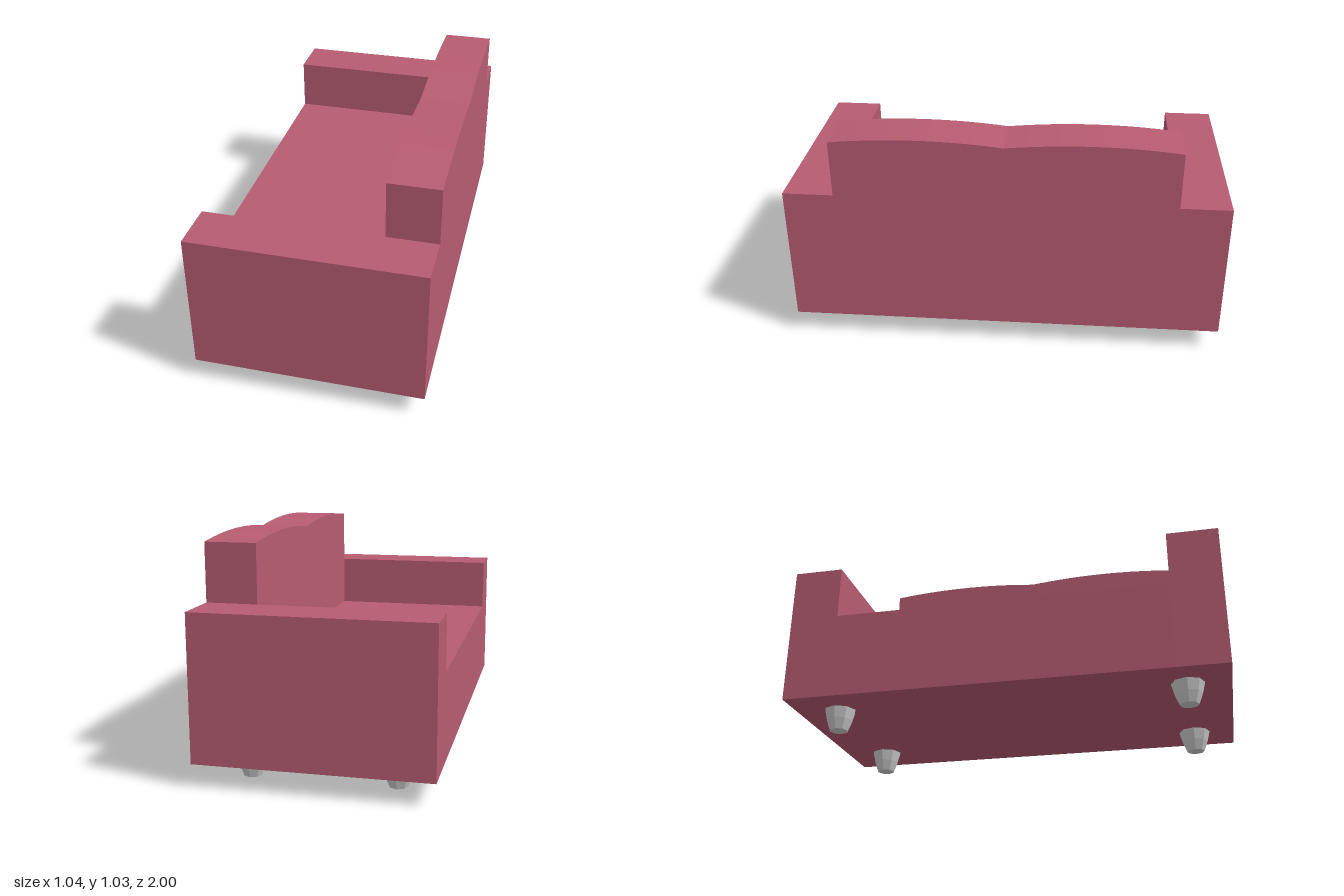
import * as THREE from 'three';

export function createModel() {
  const sofa = new THREE.Group();
  sofa.name = 'sofa';
  const fabric = new THREE.MeshStandardMaterial({ color: 0xb85c72 });
  const grey = new THREE.MeshStandardMaterial({ color: 0xcccccc, flatShading: true });

  const add = (name, geometry, material, x, y, z) => {
    const mesh = new THREE.Mesh(geometry, material);
    mesh.name = name;
    mesh.position.set(x, y, z);
    sofa.add(mesh);
  };

  const halfDepth = 0.52, base = 0.1, inner = 0.77, backFront = 0.29;

  // seat block between the arms, in front of the backrest
  const seatDepth = halfDepth + backFront;
  add('seat', new THREE.BoxGeometry(seatDepth, 0.4, inner * 2), fabric,
    (backFront - halfDepth) / 2, base + 0.2, 0);

  // box arms at both ends
  for (const side of [1, -1]) {
    add(side > 0 ? 'frontArm' : 'rearArm', new THREE.BoxGeometry(halfDepth * 2, 0.65, 1 - inner),
      fabric, 0, base + 0.325, side * (1 + inner) / 2);
  }

  // backrest with two shallow arches along its top
  const corner = 1.012, control = 1.056;
  const outline = new THREE.Shape();
  outline.moveTo(-inner, base);
  outline.lineTo(inner, base);
  outline.lineTo(inner, corner);
  outline.quadraticCurveTo(inner / 2, control, 0, corner);
  outline.quadraticCurveTo(-inner / 2, control, -inner, corner);
  outline.closePath();
  const back = new THREE.ExtrudeGeometry(outline, {
    depth: halfDepth - backFront, bevelEnabled: false, curveSegments: 16,
  });
  back.rotateY(Math.PI / 2);
  add('backrest', back, fabric, backFront, 0, 0);

  // tapered eight-sided feet, closed at both ends
  const profile = [[0, 0], [0.042, 0], [0.061, 0.05], [0.074, base], [0, base]]
    .map(([r, y]) => new THREE.Vector2(r, y));
  const foot = new THREE.LatheGeometry(profile, 8);
  for (const x of [-0.33, 0.317]) {
    for (const z of [-0.797, 0.81]) add('foot', foot, grey, x, 0, z);
  }

  return sofa;
}
